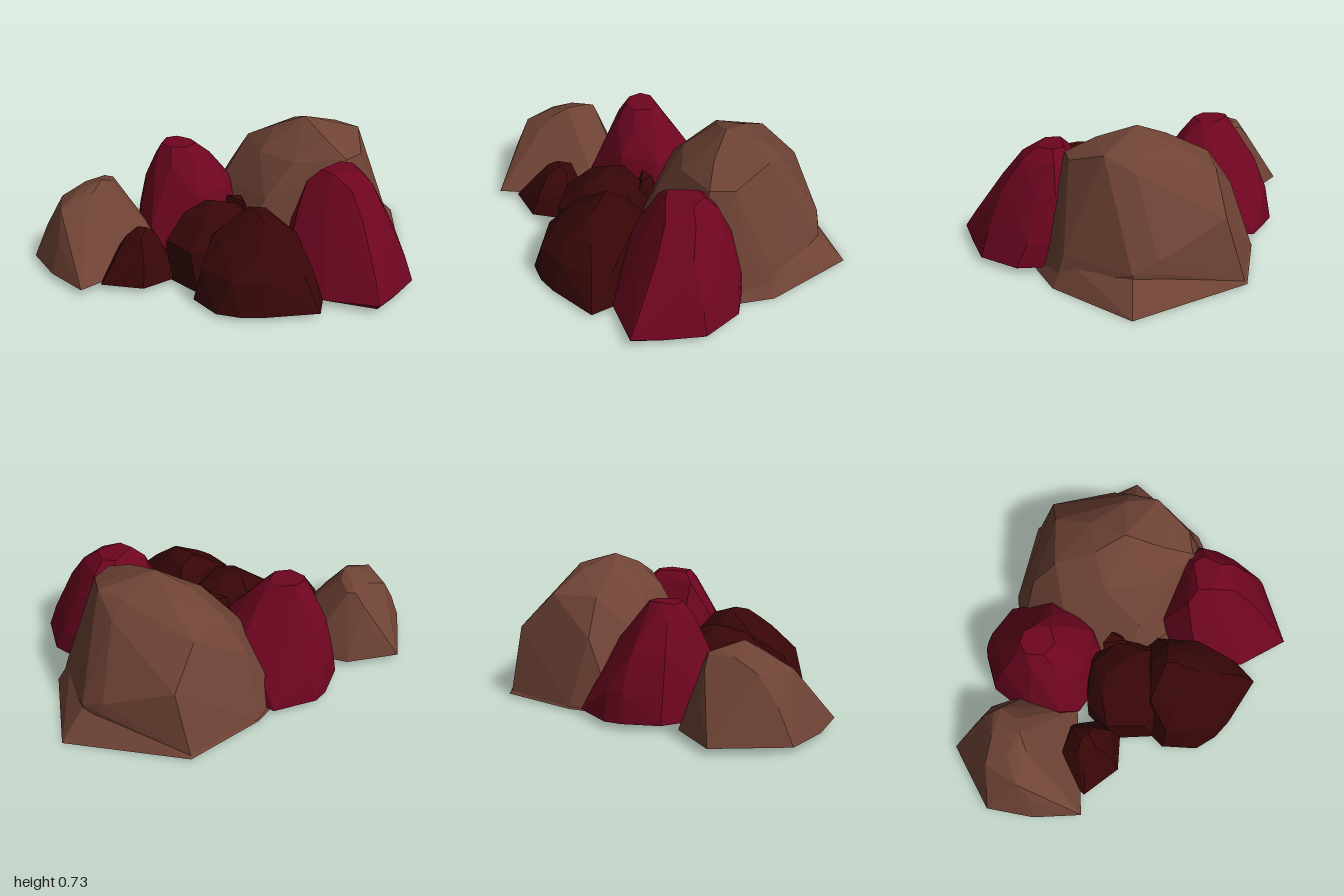
import * as THREE from 'three';
import { ConvexGeometry } from 'three/addons/geometries/ConvexGeometry.js';

const mat = (name, color) => {
  const m = new THREE.MeshStandardMaterial({ color, flatShading: true });
  m.name = name;
  return m;
};

// A faceted boulder: the hull of horizontal rings, each [height, [x, z], [x, z], ...]
function boulder(name, material, rings) {
  const points = rings.flatMap(([y, ...ring]) => ring.map(([x, z]) => new THREE.Vector3(x, y, z)));
  const mesh = new THREE.Mesh(new ConvexGeometry(points), material);
  mesh.name = name;
  return mesh;
}

export function createModel() {
  const group = new THREE.Group();
  group.name = 'rockCluster';
  const brown = mat('brown stone', 0x6f4335);
  const crimson = mat('crimson stone', 0x6e0520);
  const maroon = mat('dark maroon stone', 0x370607);

  group.add(
    // Largest rock: tall body on a flared foot
    boulder('largeBrownRock', brown, [
      [0.02, [0.85, 0.1], [0.61, 0.48], [0.45, 0.54], [0.25, 0.59], [0, 0.36], [-0.18, 0.08], [0.72, -0.45], [0.3, -0.58], [0.05, -0.57], [-0.1, -0.45]],
      [0.16, [0.85, 0.13], [0.85, 0.02], [0.6, 0.44], [-0.13, 0.06]],
      [0.22, [0.84, 0], [0.56, 0.43]],
      [0.36, [0.71, -0.35], [0.74, 0.02], [0.24, -0.47], [0.02, -0.3], [-0.04, 0.1], [0.21, 0.42], [0.45, 0.44]],
      [0.55, [0.52, -0.33], [0.26, -0.34], [0.65, 0.04], [0.1, -0.08], [0.11, 0.17]],
      [0.585, [0.27, 0.4], [0.4, 0.39], [0.64, 0.08], [0.18, 0.08]],
      [0.66, [0.56, 0.23], [0.28, 0.24], [0.56, 0.06], [0.44, -0.14], [0.27, -0.12]],
      [0.73, [0.33, 0.04]],
    ]),
    boulder('largeRockFoot', brown, [
      [0, [1, 0.15], [0.63, 0.5], [0.45, 0.56], [0.24, 0.62], [-0.17, 0.44], [-0.23, 0.09]],
      [0.01, [0.73, -0.46], [0.3, -0.585], [0.05, -0.585], [-0.11, -0.53]],
      [0.14, [0.85, 0.13], [0.84, 0.02], [0.59, 0.43], [0.25, 0.53], [-0.05, 0.3], [-0.13, 0.06], [0.1, -0.4], [0.6, -0.38]],
    ]),

    // Small brown rock at the back corner
    boulder('smallBrownRock', brown, [
      [0.03, [-1, -0.26], [-1, -0.52], [-0.94, -0.77], [-0.59, -0.94], [-0.37, -0.74], [-0.3, -0.5], [-0.4, -0.26]],
      [0.2, [-0.94, -0.52], [-0.86, -0.75], [-0.62, -0.81], [-0.5, -0.8], [-0.44, -0.7], [-0.42, -0.52], [-0.85, -0.4]],
      [0.34, [-0.88, -0.58], [-0.76, -0.74], [-0.78, -0.48], [-0.5, -0.74]],
      [0.4, [-0.74, -0.62], [-0.63, -0.7], [-0.5, -0.69], [-0.48, -0.65], [-0.72, -0.52]],
      [0.42, [-0.53, -0.66], [-0.55, -0.57]],
      [0.45, [-0.63, -0.55]],
    ]),

    // Tall crimson rock at the front
    boulder('frontCrimsonRock', crimson, [
      [0.03, [-0.07, 0.92], [0.08, 0.9], [0.3, 0.85], [0.45, 0.67], [0.46, 0.48], [0.38, 0.35], [0.1, 0.22], [-0.12, 0.3], [-0.18, 0.5], [-0.19, 0.68]],
      [0.05, [-0.07, 0.935]],
      [0.16, [-0.03, 0.87], [0.28, 0.81], [0.44, 0.61], [0.45, 0.5], [0.42, 0.38], [-0.18, 0.5]],
      [0.27, [0.04, 0.78], [0.2, 0.78], [0.36, 0.66], [-0.09, 0.56], [-0.14, 0.4], [0.32, 0.32], [0.02, 0.24]],
      [0.39, [0.04, 0.72], [0.22, 0.72], [0.36, 0.56], [0.39, 0.46], [-0.05, 0.54], [-0.08, 0.38]],
      [0.53, [0.07, 0.61], [0.22, 0.62], [0.32, 0.46], [0.02, 0.48], [0.01, 0.36], [0.27, 0.36]],
      [0.59, [0.06, 0.49], [0.2, 0.54], [0.25, 0.46], [0.22, 0.4], [0.06, 0.41]],
    ]),

    // Rounder crimson rock at the back
    boulder('backCrimsonRock', crimson, [
      [0.03, [-0.08, -0.765], [0.01, -0.76], [0.21, -0.62], [0.2, -0.4], [0.05, -0.12], [-0.2, -0.08], [-0.42, -0.25], [-0.46, -0.4], [-0.39, -0.58], [-0.27, -0.72]],
      [0.18, [-0.08, -0.75], [0.01, -0.72], [0.15, -0.52], [-0.27, -0.69], [-0.46, -0.35], [-0.41, -0.52]],
      [0.36, [-0.1, -0.68], [0, -0.53], [0.11, -0.37], [0.05, -0.25], [-0.06, -0.16], [-0.26, -0.2], [-0.36, -0.34], [-0.35, -0.5], [-0.26, -0.64]],
      [0.5, [-0.16, -0.58], [-0.06, -0.46], [-0.01, -0.37], [-0.08, -0.28], [-0.2, -0.28], [-0.3, -0.36], [-0.31, -0.48], [-0.24, -0.57]],
      [0.58, [-0.25, -0.5], [-0.26, -0.41], [-0.2, -0.35], [-0.11, -0.37], [-0.09, -0.44]],
      [0.59, [-0.13, -0.51], [-0.19, -0.53]],
    ]),

    // Dark rocks along the right-hand side
    boulder('frontDarkRock', maroon, [
      [0.02, [-0.29, 0.745], [-0.52, 0.58], [-0.6, 0.5], [-0.66, 0.39], [-0.64, 0.2], [-0.5, 0.08], [-0.1, 0.1], [-0.08, 0.4], [-0.18, 0.66]],
      [0.19, [-0.3, 0.64], [-0.48, 0.55], [-0.6, 0.44], [-0.6, 0.22], [-0.1, 0.4], [-0.2, 0.6]],
      [0.3, [-0.32, 0.53], [-0.45, 0.47], [-0.5, 0.27], [-0.45, 0.14], [-0.1, 0.2], [-0.13, 0.42]],
      [0.36, [-0.42, 0.3], [-0.38, 0.43], [-0.25, 0.16]],
      [0.4, [-0.33, 0.4], [-0.18, 0.25], [-0.23, 0.37]],
      [0.43, [-0.29, 0.29], [-0.28, 0.23]],
    ]),
    boulder('middleDarkRock', maroon, [
      [0.02, [-0.58, 0.16], [-0.58, -0.08], [-0.44, -0.2], [-0.2, -0.2], [-0.06, -0.08], [-0.04, 0.1], [-0.16, 0.26], [-0.46, 0.26]],
      [0.22, [-0.57, 0.1], [-0.56, -0.1], [-0.42, -0.2], [-0.16, -0.18], [-0.07, 0.02], [-0.14, 0.2], [-0.46, 0.22]],
      [0.33, [-0.44, 0.06], [-0.42, -0.12], [-0.24, -0.16], [-0.13, -0.02], [-0.18, 0.12], [-0.38, 0.14]],
      [0.38, [-0.34, 0], [-0.3, -0.08], [-0.24, 0.02]],
    ]),
    boulder('smallDarkRock', maroon, [
      [0.03, [-0.89, -0.24], [-0.76, -0.05], [-0.58, -0.03], [-0.48, -0.14], [-0.5, -0.3], [-0.65, -0.36], [-0.82, -0.31]],
      [0.15, [-0.79, -0.23], [-0.72, -0.09], [-0.57, -0.08], [-0.52, -0.25], [-0.68, -0.35]],
      [0.24, [-0.7, -0.26], [-0.68, -0.16], [-0.57, -0.17], [-0.57, -0.29]],
      [0.28, [-0.64, -0.24], [-0.61, -0.2]],
    ]),

    // Little knob wedged between the dark and brown rocks
    boulder('darkKnob', maroon, [
      [0.2, [-0.18, -0.1], [-0.04, -0.06], [-0.03, 0], [-0.16, 0.06]],
      [0.35, [-0.13, -0.1], [-0.07, -0.05], [-0.12, 0.02]],
    ]),
  );
  return group;
}
